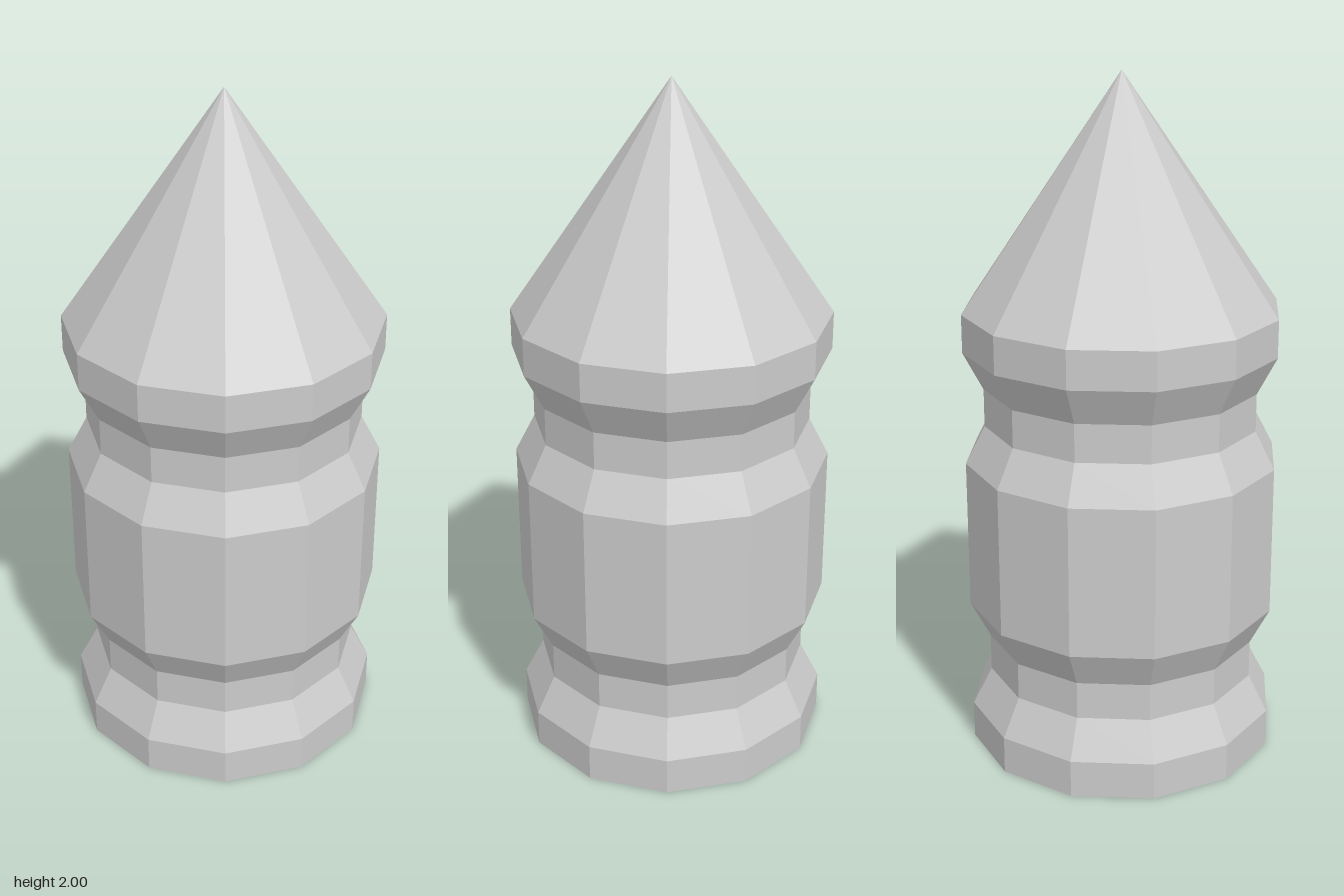
import * as THREE from 'three';

const SIDES = 12;
const UNIT = 1 / 9; // module for all heights
const WIDE = 0.4444 / Math.cos(Math.PI / SIDES); // corner radius of the post
const NECK = 0.3889 / Math.cos(Math.PI / SIDES); // corner radius of the grooves

// Faceted turned part from [radius, height in units], flats facing the axes
function turned(name, profile, material) {
  const points = profile.map(([r, h]) => new THREE.Vector2(r, h * UNIT));
  const geometry = new THREE.LatheGeometry(points, SIDES, Math.PI / SIDES).toNonIndexed();
  geometry.computeVertexNormals();
  const mesh = new THREE.Mesh(geometry, material);
  mesh.name = name;
  return mesh;
}

export function createModel() {
  const material = new THREE.MeshStandardMaterial({ color: 0xcccccc, flatShading: true });
  const group = new THREE.Group();
  group.name = 'pointedPost';

  // Post with closed underside and two bevelled grooves
  const profile = [[0, 0], [WIDE, 0]];
  for (const h of [1, 8]) {
    profile.push([WIDE, h], [NECK, h + 1], [NECK, h + 2], [WIDE, h + 3]);
  }
  // The upper groove is the lower one turned over in spacing: 8, 9, 10, 11
  profile.push([WIDE, 12]);
  group.add(turned('post', profile, material));

  // Pointed tip
  group.add(turned('tip', [[WIDE, 12], [0, 18]], material));
  return group;
}
